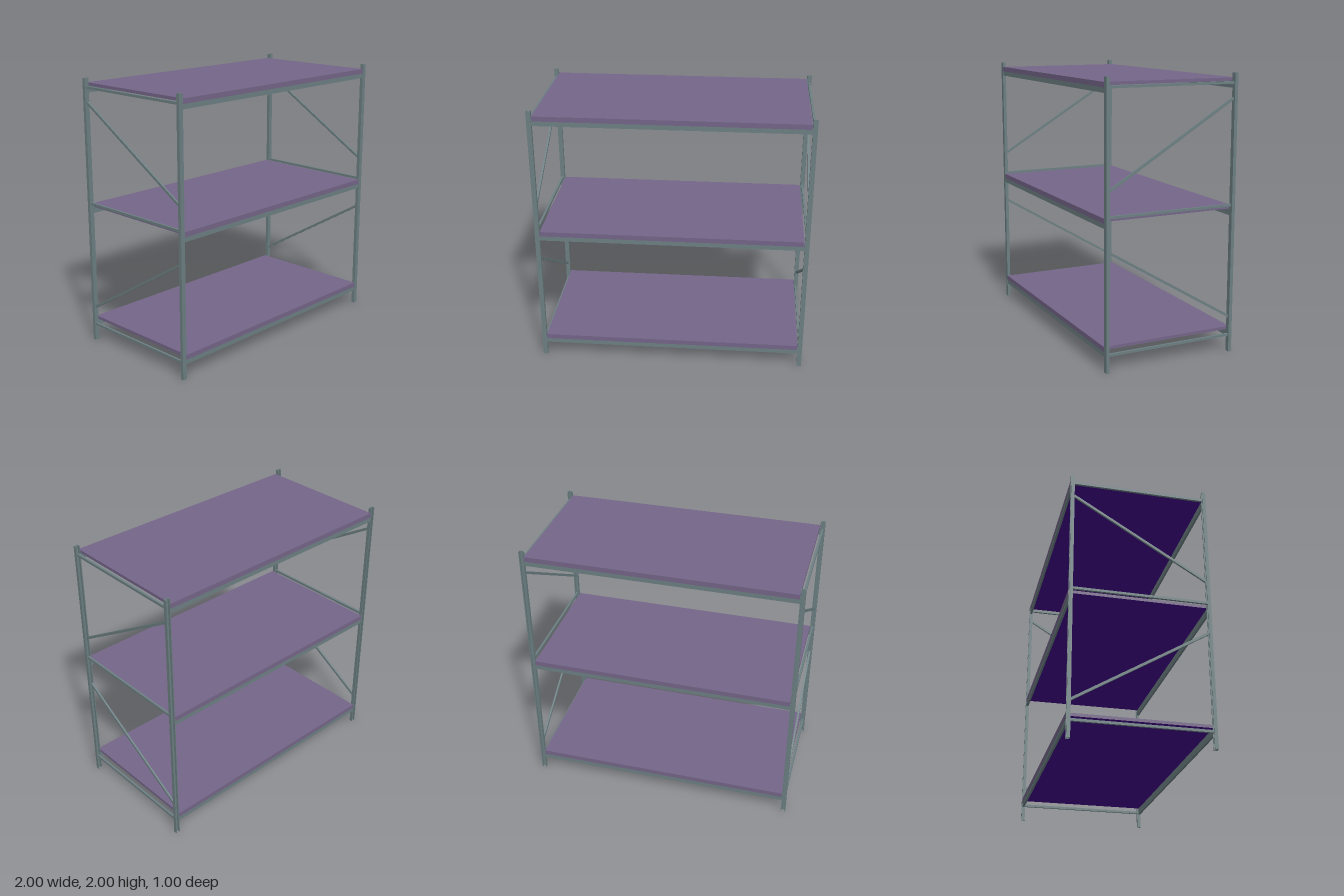
import * as THREE from 'three';

const steel = new THREE.MeshStandardMaterial({ color: 0x6c7f82 });
steel.name = 'grey steel';
const purple = new THREE.MeshStandardMaterial({ color: 0x746588 });
purple.name = 'muted purple';
const darkPurple = new THREE.MeshStandardMaterial({ color: 0x400488 });
darkPurple.name = 'deep purple';

// Box given by its lower and upper corners
function block(parent, name, material, [x0, y0, z0], [x1, y1, z1]) {
  const mesh = new THREE.Mesh(new THREE.BoxGeometry(x1 - x0, y1 - y0, z1 - z0), material);
  mesh.position.set((x0 + x1) / 2, (y0 + y1) / 2, (z0 + z1) / 2);
  mesh.name = name;
  parent.add(mesh);
}

// Upright: a channel section, open towards the back, extruded to full height
function makePost(side, end) {
  const w = 0.017, d = 0.0125, t = 0.006;
  const section = new THREE.Shape([
    [-w, -d], [w, -d], [w, d], [w - t, d], [w - t, -d + t],
    [-w + t, -d + t], [-w + t, d], [-w, d],
  ].map(([x, y]) => new THREE.Vector2(x, y)));
  const geometry = new THREE.ExtrudeGeometry(section, { depth: 2, bevelEnabled: false });
  geometry.rotateX(-Math.PI / 2); // section y becomes -z
  const post = new THREE.Mesh(geometry, steel);
  post.position.set(side * 0.983, 0, end * 0.4875);
  post.name = 'post';
  return post;
}

// Diagonal brace running from the front post to the back post
function makeBrace(side, yFront, yBack) {
  const run = 0.95, rise = yBack - yFront;
  const brace = new THREE.Mesh(new THREE.BoxGeometry(0.014, 0.018, Math.hypot(run, rise)), steel);
  brace.position.set(side * 0.983, (yFront + yBack) / 2, 0);
  brace.rotation.x = Math.atan2(rise, run);
  brace.name = 'diagonalBrace';
  return brace;
}

// Shelf level: panel with a dark underside and front and back lips, carried by two beams
function makeShelf(top) {
  const shelf = new THREE.Group();
  shelf.name = 'shelf';
  const under = top - 0.022;
  const panelFaces = [purple, purple, purple, darkPurple, purple, purple]; // fourth is the underside
  block(shelf, 'panel', panelFaces, [-0.963, under, -0.5], [0.963, top, 0.5]);
  for (const end of [-1, 1]) {
    const strip = (name, material, x, bottom, inner, outer) => {
      const [z0, z1] = end > 0 ? [inner, outer] : [-outer, -inner];
      block(shelf, name, material, [-x, bottom, z0], [x, under, z1]);
    };
    strip('beam', steel, 0.966, top - 0.071, 0.482, 0.497);
    strip('panelLip', purple, 0.963, top - 0.036, 0.494, 0.5);
  }
  return shelf;
}

export function createModel() {
  const rack = new THREE.Group();
  rack.name = 'storageRack';

  for (const top of [0.18, 1.07, 1.965]) rack.add(makeShelf(top));

  // End frames: posts, horizontal ties and braces
  for (const side of [-1, 1]) {
    const frame = new THREE.Group();
    frame.name = side > 0 ? 'leftEndFrame' : 'rightEndFrame';
    for (const end of [-1, 1]) frame.add(makePost(side, end));
    for (const y of [0.125, 1.077, 1.933]) {
      block(frame, 'tie', steel,
        [side * 0.983 - 0.008, y - 0.009, -0.48], [side * 0.983 + 0.008, y + 0.009, 0.48]);
    }
    frame.add(makeBrace(side, 0.84, 0.265), makeBrace(side, 1.25, 1.825));
    rack.add(frame);
  }
  return rack;
}
